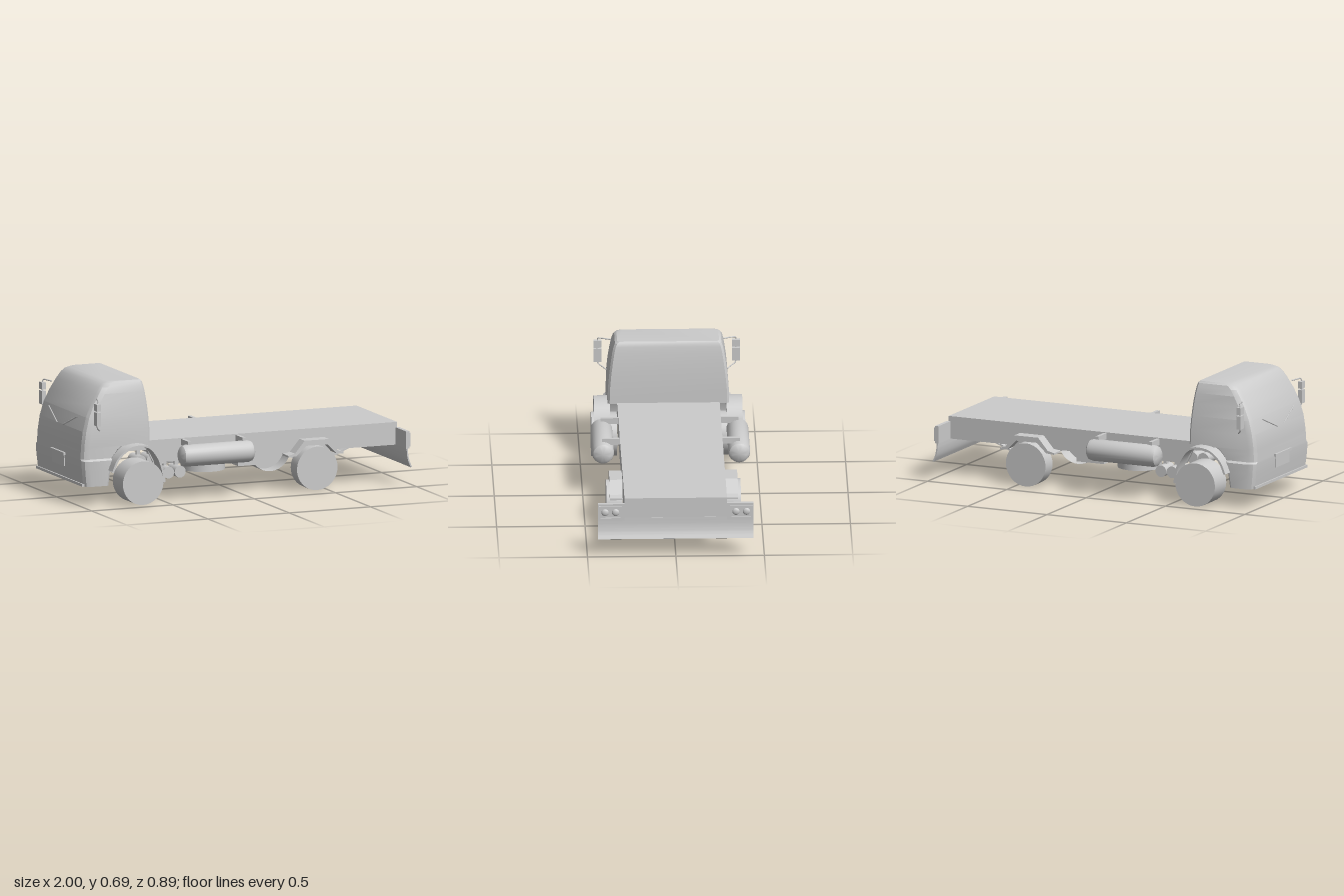
import * as THREE from 'three';
import { toCreasedNormals } from 'three/addons/utils/BufferGeometryUtils.js';

const grey = new THREE.MeshStandardMaterial({ color: 0xcccccc });
const thin = new THREE.MeshStandardMaterial({ color: 0xcccccc, side: THREE.DoubleSide });
const V = (x, y, z) => new THREE.Vector3(x, y, z);

export function createModel() {
  const model = new THREE.Group();
  model.name = 'flatbedTruck';

  const add = (name, geometry, x = 0, y = 0, z = 0, material = grey) => {
    const mesh = new THREE.Mesh(geometry, material);
    mesh.name = name;
    mesh.position.set(x, y, z);
    model.add(mesh);
    return mesh;
  };
  // Box given by its extents on each axis
  const box = (name, x0, x1, y0, y1, z0, z1) =>
    add(name, new THREE.BoxGeometry(Math.abs(x1 - x0), Math.abs(y1 - y0), Math.abs(z1 - z0)),
      (x0 + x1) / 2, (y0 + y1) / 2, (z0 + z1) / 2);
  // Side outline in x,y extruded across z, centred on zc
  const slab = (name, points, width, zc) => {
    const shape = new THREE.Shape(points.map(p => new THREE.Vector2(p[0], p[1])));
    const g = new THREE.ExtrudeGeometry(shape, { depth: width, bevelEnabled: false });
    g.translate(0, 0, -width / 2);
    return add(name, toCreasedNormals(g, 0.6), 0, 0, zc);
  };
  // Curved strip of even thickness t, hung below a path in x,y
  const strip = (name, points, t, width, zc, steps = 16) => {
    const curve = new THREE.CatmullRomCurve3(points.map(p => V(p[0], p[1], 0)));
    const outer = [], inner = [];
    for (let i = 0; i <= steps; i++) {
      const p = curve.getPoint(i / steps), d = curve.getTangent(i / steps);
      outer.push([p.x, p.y]);
      inner.unshift([p.x + d.y * t, p.y - d.x * t]);
    }
    return slab(name, [...outer, ...inner], width, zc);
  };

  // Cab: rounded cross-sections stacked by height [y, front x, back x, half width]
  const rows = [
    [0.11, -0.975, -0.83, 0.355], [0.2, -0.985, -0.82, 0.36], [0.255, -0.988, -0.805, 0.36],
    [0.265, -0.988, -0.8, 0.345], [0.31, -0.985, -0.765, 0.345], [0.33, -0.984, -0.74, 0.344],
    [0.335, -0.984, -0.57, 0.344], [0.42, -0.972, -0.572, 0.342], [0.5, -0.95, -0.577, 0.335],
    [0.57, -0.918, -0.583, 0.326], [0.63, -0.882, -0.591, 0.317], [0.665, -0.858, -0.597, 0.309],
    [0.685, -0.835, -0.602, 0.301], [0.695, -0.81, -0.61, 0.288],
  ];
  const section = ([y, f, b, w]) => {
    const half = [[f, w - 0.035], [f + 0.012, w - 0.014], [f + 0.04, w], [b - 0.012, w], [b, w - 0.012]];
    const other = half.map(([x, z]) => [x, -z]).reverse();
    return [...half, ...other].map(([x, z]) => [x, y, z]);
  };
  const pos = [], index = [], n = 10;
  rows.forEach(r => section(r).forEach(p => pos.push(...p)));
  for (let r = 0; r < rows.length - 1; r++) {
    for (let i = 0; i < n; i++) {
      const a = r * n + i, b = r * n + (i + 1) % n;
      index.push(a, b, b + n, a, b + n, a + n);
    }
  }
  const top = (rows.length - 1) * n;
  for (let i = 1; i < n - 1; i++) {
    index.push(top, top + i, top + i + 1, 0, i + 1, i);
  }
  const cabGeometry = new THREE.BufferGeometry();
  cabGeometry.setAttribute('position', new THREE.Float32BufferAttribute(pos, 3));
  cabGeometry.setIndex(index);
  add('cab', toCreasedNormals(cabGeometry, 0.5));

  // Front details
  box('grillePlate', -1, -0.982, 0.255, 0.27, -0.1, 0.1);
  box('grillePanel', -0.993, -0.98, 0.19, 0.255, -0.085, 0.085);
  box('bumperLip', -0.985, -0.95, 0.11, 0.125, -0.33, 0.33);

  // Flatbed: hollow underneath with cross members
  box('bedFloor', -0.6, 0.97, 0.325, 0.34, -0.29, 0.29);
  box('bedRearPlate', 0.955, 0.97, 0.21, 0.325, -0.29, 0.29);
  for (const x of [-0.45, -0.2, 0.25, 0.62, 0.71, 0.8, 0.89]) {
    box('crossMember', x, x + 0.012, 0.22, 0.325, -0.28, 0.28);
  }

  // Curved rear apron
  strip('rearApron', [[0.972, 0.225], [0.974, 0.18], [0.982, 0.14], [0.998, 0.105]], 0.008, 0.88, 0);

  for (const s of [1, -1]) {
    slab('bedSide', [[-0.62, 0.33], [-0.57, 0.29], [-0.53, 0.21], [0.965, 0.21], [0.965, 0.33]], 0.012, s * 0.284);
    box('chassisRail', -0.82, 0.95, 0.27, 0.33, s * 0.17, s * 0.2);

    // Wheels: drums open on the inner side
    for (const [name, x, outer] of [['frontWheel', -0.655, 0.435], ['rearWheel', 0.44, 0.38]]) {
      const depth = outer - 0.29;
      const profile = [[0, 0], [0.125, 0], [0.125, -depth]].map(p => new THREE.Vector2(p[0], p[1]));
      const g = toCreasedNormals(new THREE.LatheGeometry(profile, 32), 0.6);
      g.rotateX(s * Math.PI / 2);
      add(name, g, x, 0.125, s * outer, thin);
    }

    // Mudguards
    strip('frontMudguard', [[-0.838, 0.2], [-0.805, 0.27], [-0.74, 0.325], [-0.66, 0.34],
      [-0.6, 0.325], [-0.55, 0.265], [-0.525, 0.2], [-0.51, 0.12]], 0.012, 0.09, s * 0.375, 24);
    slab('rearMudguard', [[0.27, 0.205], [0.31, 0.215], [0.37, 0.285], [0.52, 0.285], [0.575, 0.215],
      [0.61, 0.205], [0.61, 0.195], [0.565, 0.2], [0.51, 0.255], [0.38, 0.255], [0.32, 0.2], [0.27, 0.195]],
      0.085, s * 0.32);

    // Leaf springs
    for (const [name, x] of [['frontLeafSpring', -0.655], ['rearLeafSpring', 0.47]]) {
      for (let i = 0; i < 3; i++) {
        const h = 0.22 - i * 0.035, y = 0.215 - i * 0.009;
        strip(name, [[x - h, y], [x - h / 2, 0.172 - i * 0.009], [x, 0.156 - i * 0.009],
          [x + h / 2, 0.172 - i * 0.009], [x + h, y]], 0.006, 0.04, s * 0.25);
      }
    }

    // Side tank with domed ends and hanging brackets
    const tank = [[0, -0.225], [0.04, -0.222], [0.056, -0.21], [0.062, -0.19],
      [0.062, 0.19], [0.056, 0.21], [0.04, 0.222], [0, 0.225]].map(p => new THREE.Vector2(p[0], p[1]));
    add('sideTank', toCreasedNormals(new THREE.LatheGeometry(tank, 28), 0.6), -0.183, 0.255, s * 0.385)
      .rotation.z = Math.PI / 2;
    for (const x of [-0.35, -0.015]) box('tankBracket', x - 0.01, x + 0.01, 0.3, 0.335, s * 0.28, s * 0.39);

    // Small air cylinders, drum and equipment box under the bed
    for (const x of [-0.42, -0.35]) {
      add('airCylinder', new THREE.CylinderGeometry(0.034, 0.034, 0.11, 20), x, 0.14, s * 0.2)
        .rotation.x = Math.PI / 2;
      box('cylinderHanger', x - 0.01, x + 0.01, 0.17, 0.28, s * 0.18, s * 0.2);
    }
    const drum = [[0, 0.065], [0.125, 0.065], [0.125, 0]].map(p => new THREE.Vector2(p[0], p[1]));
    add('underbodyDrum', toCreasedNormals(new THREE.LatheGeometry(drum, 32), 0.6), -0.165, 0.13, s * 0.15, thin);
    box('equipmentBox', 0, 0.175, 0.15, 0.27, s * 0.1, s * 0.27);

    // Rear lamp panel with raised bezel and two domed lamps
    box('lampPanel', 0.96, 0.982, 0.21, 0.31, s * 0.29, s * 0.44);
    const bezel = new THREE.Shape([[-0.065, -0.039], [0.065, -0.039], [0.065, 0.039], [-0.065, 0.039]]
      .map(p => new THREE.Vector2(p[0], p[1])));
    bezel.holes.push(new THREE.Path([[-0.056, -0.031], [-0.056, 0.031], [0.056, 0.031], [0.056, -0.031]]
      .map(p => new THREE.Vector2(p[0], p[1]))));
    const bezelGeometry = new THREE.ExtrudeGeometry(bezel, { depth: 0.01, bevelEnabled: false });
    bezelGeometry.rotateY(Math.PI / 2);
    add('lampBezel', bezelGeometry, 0.981, 0.26, s * 0.37);
    for (const z of [0.34, 0.4]) {
      const dome = new THREE.SphereGeometry(0.021, 16, 8, 0, Math.PI * 2, 0, Math.PI / 2);
      dome.scale(1, 0.5, 1);
      dome.rotateZ(-Math.PI / 2);
      add('rearLamp', dome, 0.982, 0.26, s * z);
    }

    // Mirror arm and mirrors
    const arm = new THREE.CatmullRomCurve3([V(-0.89, 0.605, s * 0.315), V(-0.912, 0.607, s * 0.385),
      V(-0.918, 0.59, s * 0.392), V(-0.918, 0.46, s * 0.39), V(-0.905, 0.442, s * 0.37),
      V(-0.88, 0.425, s * 0.338)], false, 'catmullrom', 0.3);
    add('mirrorArm', new THREE.TubeGeometry(arm, 32, 0.004, 6));
    box('upperMirror', -0.93, -0.905, 0.55, 0.59, s * 0.37, s * 0.413);
    box('lowerMirror', -0.93, -0.905, 0.465, 0.542, s * 0.37, s * 0.413);

    // Wiper lying on the windscreen
    const wiper = new THREE.LineCurve3(V(-0.979, 0.42, s * 0.04), V(-0.962, 0.49, s * 0.2));
    add('wiper', new THREE.TubeGeometry(wiper, 1, 0.004, 6));
  }
  return model;
}
